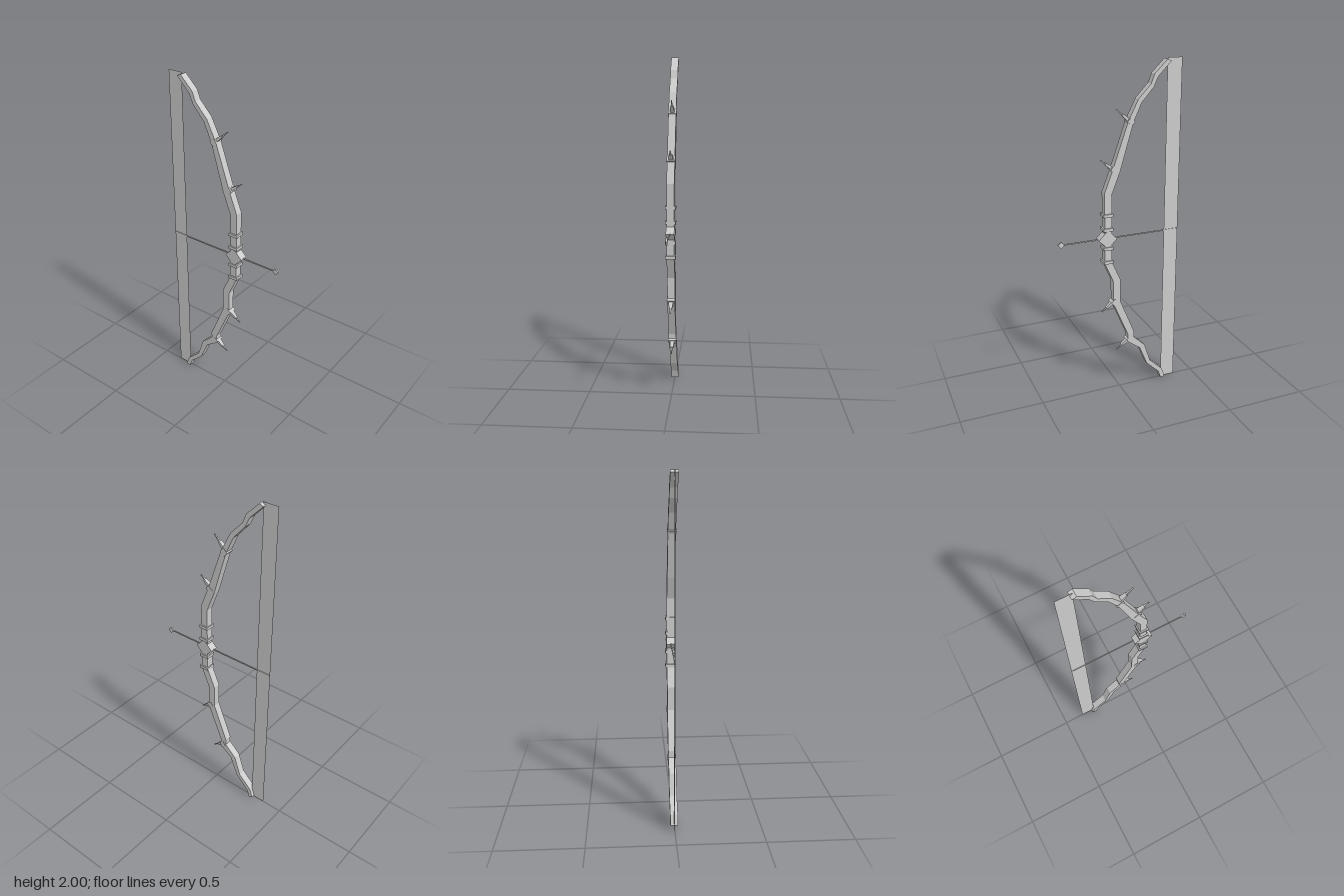
import * as THREE from 'three';

export function createModel() {
  const bow = new THREE.Group();
  bow.name = 'bow';
  const grey = new THREE.MeshStandardMaterial({ color: 0xcccccc, side: THREE.DoubleSide });
  grey.name = 'plain grey';

  const add = (name, geometry, x, y, z = 0, angle = 0, parent = bow) => {
    const mesh = new THREE.Mesh(geometry, grey);
    mesh.name = name;
    mesh.position.set(x, y, z);
    mesh.rotation.z = angle;
    parent.add(mesh);
    return mesh;
  };
  const box = (w, h, d) => new THREE.BoxGeometry(w, h, d);

  // Crooked limb: left and right edge of each station, top to bottom
  const stations = [
    [-0.30, 1.985, -0.275, 1.995], [-0.22, 1.905, -0.198, 1.92], [-0.195, 1.85, -0.178, 1.868],
    [-0.123, 1.77, -0.103, 1.79], [-0.075, 1.665, -0.043, 1.672], [0.005, 1.395, 0.05, 1.405],
    [0.056, 1.265, 0.099, 1.28], [0.056, 0.86, 0.099, 0.85], [0.004, 0.74, 0.047, 0.73],
    [0.004, 0.60, 0.047, 0.585], [-0.087, 0.375, -0.048, 0.36], [-0.087, 0.335, -0.05, 0.308],
    [-0.16, 0.265, -0.128, 0.25], [-0.20, 0.145, -0.177, 0.13], [-0.283, 0.066, -0.26, 0.05],
    [-0.303, 0.008, -0.278, 0.0],
  ];
  const depth = 0.022;
  const rings = stations.map(([lx, ly, rx, ry]) => [
    [lx, ly, depth], [rx, ry, depth], [rx, ry, -depth], [lx, ly, -depth],
  ]);
  const points = [];
  const quad = (a, b, c, d) => points.push(...a, ...b, ...c, ...a, ...c, ...d);
  for (let i = 0; i < rings.length - 1; i++) {
    for (let k = 0; k < 4; k++) {
      const n = (k + 1) % 4;
      quad(rings[i][k], rings[i + 1][k], rings[i + 1][n], rings[i][n]);
    }
  }
  quad(...rings[0]);
  quad(...[...rings[rings.length - 1]].reverse());
  const limb = new THREE.BufferGeometry();
  limb.setAttribute('position', new THREE.Float32BufferAttribute(points, 3));
  limb.computeVertexNormals();
  add('limb', limb, 0, 0);

  // Flat string strip
  add('string', new THREE.PlaneGeometry(0.09, 2), -0.33, 1);

  // Grip bands and the diamond block between them
  for (const y of [1.145, 1.06, 0.945, 0.86]) add('gripBand', box(0.058, 0.018, 0.06), 0.078, y);
  add('gripBlock', box(0.08, 0.08, 0.048), 0.08, 1, 0, Math.PI / 4);

  // Arrow
  add('arrowShaft', box(0.71, 0.007, 0.006), -0.015, 1);
  add('arrowHead', box(0.028, 0.028, 0.01), 0.355, 1, 0, Math.PI / 4);

  // Stepped thorns along the limb, each from base to tip
  const thorns = [
    [-0.065, 1.665, 0.02, 1.74], [0.035, 1.405, 0.115, 1.465],
    [0.035, 0.597, 0.115, 0.535], [-0.065, 0.327, 0.02, 0.262],
  ];
  for (const [x0, y0, x1, y1] of thorns) {
    const thorn = new THREE.Group();
    thorn.name = 'thorn';
    thorn.position.set(x0, y0, 0);
    thorn.rotation.z = Math.atan2(y1 - y0, x1 - x0);
    bow.add(thorn);
    const length = Math.hypot(x1 - x0, y1 - y0);
    add('thornBase', box(0.036, 0.03, 0.048), 0.005, 0, 0, 0, thorn);
    // Four-sided tapers
    const taper = (name, from, to, r0, r1, flat) => {
      const g = new THREE.CylinderGeometry(r1 * Math.SQRT2, r0 * Math.SQRT2, to - from, 4).toNonIndexed();
      g.rotateY(Math.PI / 4).rotateZ(-Math.PI / 2).scale(1, flat, 1);
      g.computeVertexNormals();
      add(name, g, (from + to) / 2, 0, 0, 0, thorn);
    };
    taper('thornRoot', 0.02, 0.065, 0.014, 0.009, 0.65);
    taper('thornTip', 0.06, length, 0.005, 0.003, 0.8);
  }
  return bow;
}
